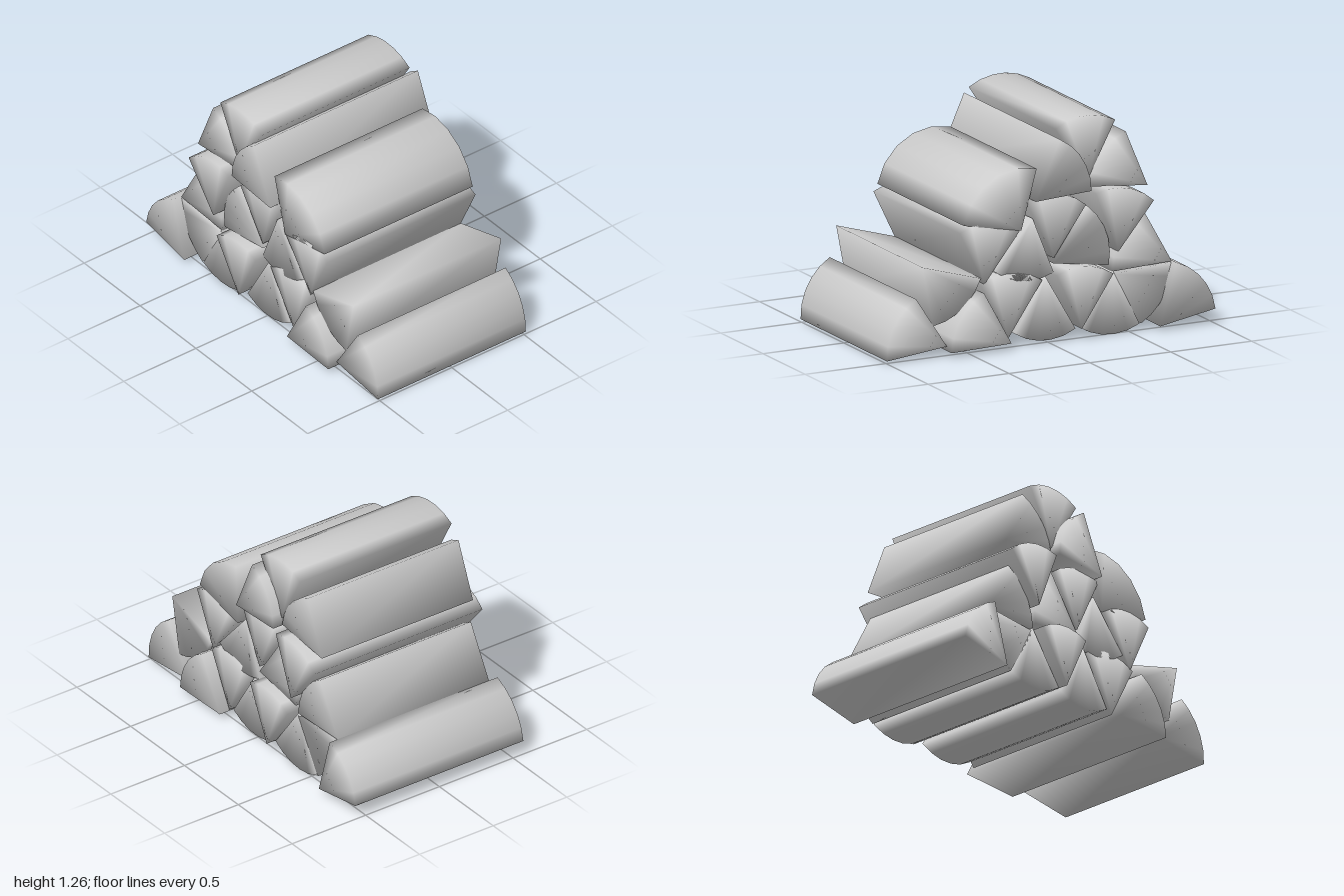
import * as THREE from 'three';

const SHORT = 0.513, LONG = 0.57; // half lengths of the logs
const ARC = 5; // segments of the bark side

// Split logs: [apex x, y, corner x, y, corner x, y, half length]
const ROWS = {
  bottomLog: [
    [-0.66, 0.02, -1, 0.08, -0.76, 0.37, LONG],
    [-0.39, 0.335, -0.76, 0.36, -0.57, 0.035, SHORT],
    [-0.395, 0.357, -0.56, 0.035, -0.18, 0.065, SHORT],
    [-0.175, 0.065, -0.37, 0.355, -0.02, 0.385, LONG],
    [0.02, 0.37, -0.165, 0.055, 0.21, 0.07, SHORT],
    [0.25, 0.05, 0.04, 0.355, 0.42, 0.37, SHORT],
    [0.26, 0.035, 0.63, 0.025, 0.43, 0.34, LONG],
    [0.63, 0.05, 1, 0.01, 0.82, 0.34, SHORT],
  ],
  middleLog: [
    [0.78, 0.515, 0.42, 0.41, 0.715, 0.175, SHORT],
    [-0.76, 0.365, -0.39, 0.35, -0.59, 0.665, SHORT],
    [-0.4, 0.475, -0.62, 0.74, -0.26, 0.82, LONG],
    [-0.03, 0.44, -0.24, 0.74, -0.37, 0.39, SHORT],
    [-0.03, 0.47, -0.23, 0.75, 0.14, 0.81, SHORT],
    [0.1, 0.71, -0.03, 0.39, 0.34, 0.44, SHORT],
    [0.4, 0.37, 0.18, 0.65, 0.55, 0.68, SHORT],
  ],
  topLog: [
    [0.17, 0.65, 0.075, 0.99, 0.525, 0.72, SHORT],
    [-0.61, 0.815, -0.24, 0.85, -0.475, 1.135, SHORT],
    [0.11, 0.82, -0.235, 0.84, -0.04, 1.155, LONG],
    [-0.24, 0.89, -0.41, 1.21, -0.04, 1.2, SHORT],
  ],
};

// Wedge-shaped prism with a round bark side and shared, smooth normals
function logGeometry([px, py, ax, ay, bx, by, half]) {
  let a0 = Math.atan2(ay - py, ax - px);
  let sweep = Math.atan2(by - py, bx - px) - a0;
  if (sweep > Math.PI) sweep -= 2 * Math.PI;
  if (sweep < -Math.PI) sweep += 2 * Math.PI;
  let r0 = Math.hypot(ax - px, ay - py), r1 = Math.hypot(bx - px, by - py);
  if (sweep < 0) { // keep the outline counter-clockwise
    a0 += sweep;
    sweep = -sweep;
    [r0, r1] = [r1, r0];
  }
  const outline = [[px, py]];
  for (let i = 0; i <= ARC; i++) {
    const t = i / ARC, a = a0 + sweep * t, r = r0 + (r1 - r0) * t;
    outline.push([px + r * Math.cos(a), py + r * Math.sin(a)]);
  }

  const n = outline.length, positions = [], index = [];
  for (const z of [half, -half]) for (const [x, y] of outline) positions.push(x, y, z);
  for (let i = 0; i < n; i++) {
    const j = (i + 1) % n;
    index.push(i, i + n, j + n, i, j + n, j); // long sides
    if (i > 0 && j > 0) index.push(0, i, j, n, j + n, i + n); // cut ends
  }
  const geometry = new THREE.BufferGeometry();
  geometry.setAttribute('position', new THREE.Float32BufferAttribute(positions, 3));
  geometry.setIndex(index);
  geometry.computeVertexNormals();
  return geometry;
}

export function createModel() {
  const group = new THREE.Group();
  group.name = 'firewoodPile';
  const material = new THREE.MeshStandardMaterial({ color: 0xcccccc });
  for (const [name, logs] of Object.entries(ROWS)) {
    logs.forEach((log, i) => {
      const mesh = new THREE.Mesh(logGeometry(log), material);
      mesh.name = name + (i + 1);
      group.add(mesh);
    });
  }
  return group;
}
